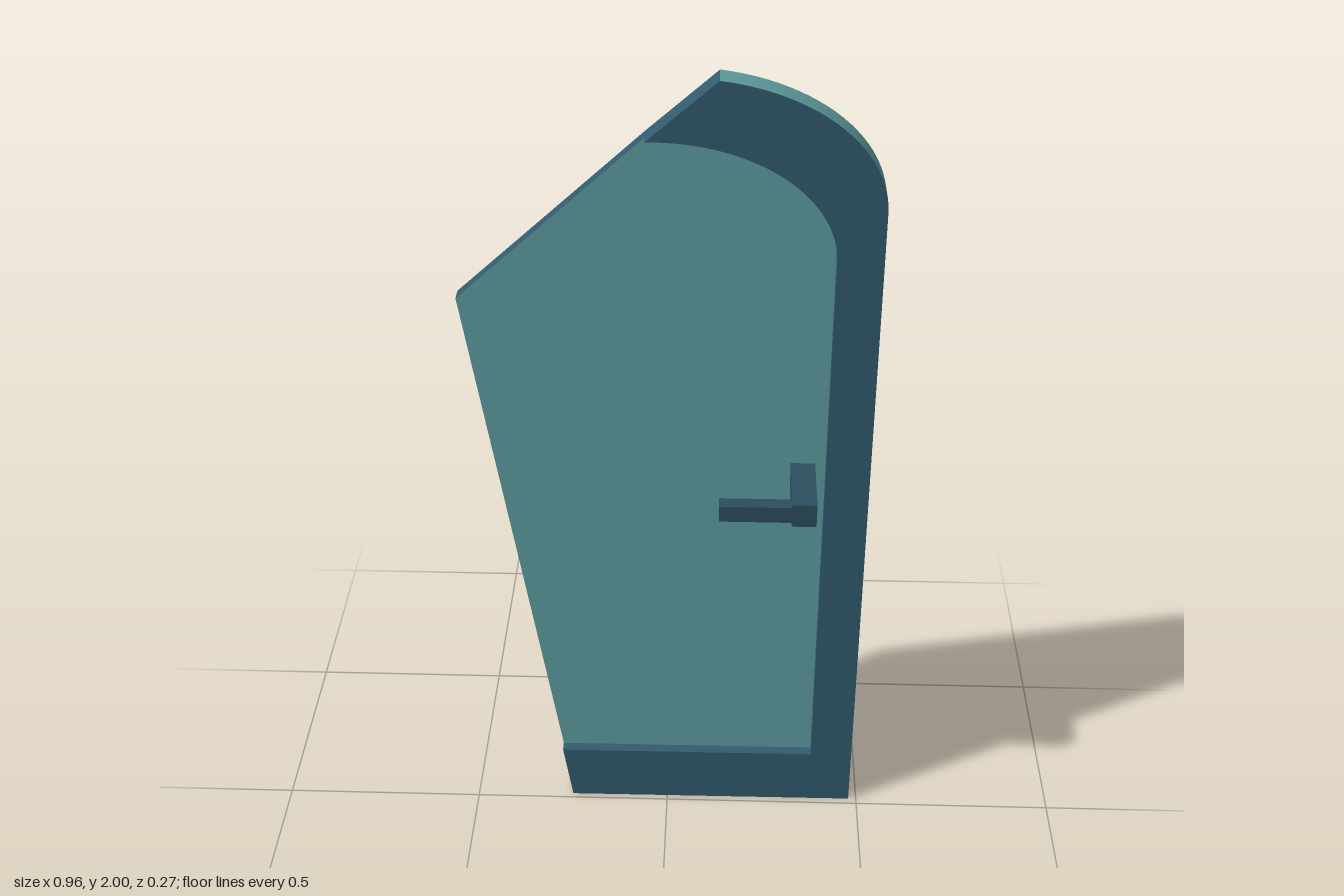
import * as THREE from 'three';

const TEAL = 0x5f9ea0, BLUE = 0x325b70, HANDLE = 0x2c4d5f, GREY = 0xcccccc;
// depths of the back, the recessed panel and the raised border
const BACK = -0.08, PANEL = -0.0425, FRONT = -0.0155;

const V = (x, y) => new THREE.Vector2(x, y);

// points of an elliptical arch, from its right springing up to the slanted cut
function arch(cx, cy, a, b, endX, n = 24) {
  const end = Math.acos((endX - cx) / a);
  return Array.from({ length: n + 1 }, (_, i) => {
    const t = end * i / n;
    return V(cx + a * Math.cos(t), cy + b * Math.sin(t));
  });
}

function part(name, geometry, color) {
  const mesh = new THREE.Mesh(geometry, new THREE.MeshStandardMaterial({ color }));
  mesh.name = name;
  return mesh;
}

// flat face at depth z
function face(name, points, z, color, flip = false) {
  const g = new THREE.ShapeGeometry(new THREE.Shape(points));
  if (flip) g.setIndex(Array.from(g.index.array).reverse());
  g.computeVertexNormals();
  return part(name, g.translate(0, 0, z), color);
}

// edge strip that follows counter-clockwise points from depth z0 to z1
function wall(name, points, z0, z1, color) {
  const pos = [], idx = [];
  points.forEach((p, i) => {
    pos.push(p.x, p.y, z0, p.x, p.y, z1);
    if (i) {
      const a = 2 * i - 2;
      idx.push(a, a + 2, a + 3, a, a + 3, a + 1);
    }
  });
  const g = new THREE.BufferGeometry();
  g.setAttribute('position', new THREE.Float32BufferAttribute(pos, 3));
  g.setIndex(idx);
  g.computeVertexNormals();
  return part(name, g, color);
}

function box(name, x0, x1, y0, y1, z0, z1) {
  const g = new THREE.BoxGeometry(x1 - x0, y1 - y0, z1 - z0);
  g.translate((x0 + x1) / 2, (y0 + y1) / 2, (z0 + z1) / 2);
  return part(name, g, HANDLE);
}

export function createModel() {
  const model = new THREE.Group();
  model.name = 'door';

  // outline corners
  const bottomLeft = V(-0.25, 0), bottomRight = V(0.48, 0), corner = V(-0.48, 1.465);
  const kickLeft = V(-0.273, 0.152), kickRight = V(0.375, 0.152);
  const outer = arch(0.03, 1.7, 0.45, 0.305, 0.11);
  const inner = arch(-0.03, 1.58, 0.405, 0.28, -0.05);
  const top = outer[outer.length - 1], innerTop = inner[inner.length - 1];
  const rim = [bottomRight, ...outer];
  const opening = [...inner].reverse().concat(kickRight);

  // leaf
  const leaf = new THREE.Group();
  leaf.name = 'leaf';
  leaf.rotation.y = 0.005;
  leaf.add(
    face('back', [bottomLeft, ...rim, corner], BACK, GREY, true),
    face('panel', [kickLeft, kickRight, ...inner, corner], PANEL, TEAL),
    face('border', [bottomLeft, ...rim, ...opening, kickLeft], FRONT, BLUE),
    wall('outerRim', rim, BACK, FRONT, TEAL),
    wall('bottomEdge', [bottomLeft, bottomRight], BACK, FRONT, TEAL),
    wall('openingLip', opening, PANEL, FRONT, BLUE),
    wall('kickTop', [kickRight, kickLeft], PANEL, FRONT, BLUE),
    // slanted cut and leaning side
    wall('borderCut', [top, innerTop], BACK, FRONT, BLUE),
    wall('panelCut', [innerTop, corner], BACK, PANEL, BLUE),
    wall('panelSide', [corner, kickLeft], BACK, PANEL, BLUE),
    wall('kickSide', [kickLeft, bottomLeft], BACK, FRONT, BLUE),
  );
  model.add(leaf);

  // handle: a spindle through the leaf and a lever on the front
  const handle = new THREE.Group();
  handle.name = 'handle';
  handle.add(
    box('spindle', 0.292, 0.35, 0.978, 1.037, -0.138, 0.136),
    box('lever', 0.124, 0.294, 0.987, 1.028, 0.098, 0.134),
  );
  model.add(handle);
  return model;
}
